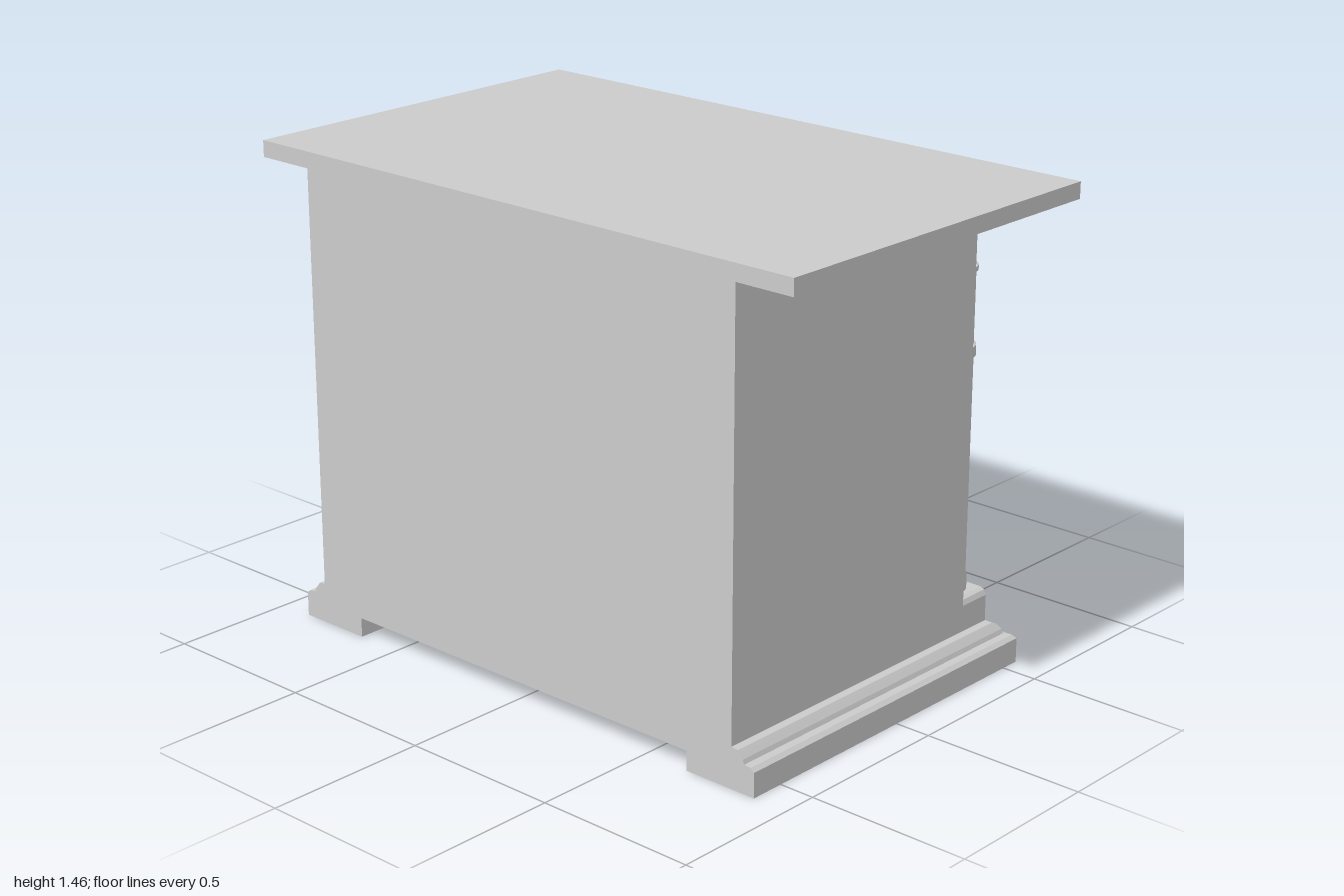
import * as THREE from 'three';
import { toCreasedNormals } from 'three/addons/utils/BufferGeometryUtils.js';

const material = new THREE.MeshStandardMaterial({ color: 0xcccccc, side: THREE.DoubleSide });

function add(parent, name, geometry, x = 0, y = 0, z = 0) {
  const mesh = new THREE.Mesh(geometry, material);
  mesh.name = name;
  mesh.position.set(x, y, z);
  parent.add(mesh);
  return mesh;
}

const box = (w, h, d) => new THREE.BoxGeometry(w, h, d);
const toPoints = (list) => list.map(([a, b]) => new THREE.Vector2(a, b));

// Outline in the (z, y) plane given as its +z half, mirrored to a closed loop
function symmetric(half) {
  return toPoints([...half, ...half.map(([z, y]) => [-z, y]).reverse()]);
}

// Slice of the cabinet between two x positions, with openings cut through
function slice(outline, holes, x0, x1) {
  const shape = new THREE.Shape(outline);
  holes.forEach((h) => shape.holes.push(new THREE.Path(h)));
  const geometry = new THREE.ExtrudeGeometry(shape, { depth: x1 - x0, bevelEnabled: false });
  geometry.rotateY(Math.PI / 2);
  geometry.translate(x0, 0, 0);
  return geometry;
}

// Stack of rectangles [front x, half z, y]; the back stays flush
function moulding(rings, back) {
  const pos = [];
  const index = [];
  rings.forEach(([x, z, y]) => pos.push(back, y, z, x, y, z, x, y, -z, back, y, -z));
  for (let r = 0; r < rings.length - 1; r++) {
    for (let i = 0; i < 4; i++) {
      const a = r * 4 + i;
      const b = r * 4 + ((i + 1) % 4);
      index.push(a, b, b + 4, a, b + 4, a + 4);
    }
  }
  const t = (rings.length - 1) * 4;
  index.push(0, 2, 1, 0, 3, 2, t, t + 1, t + 2, t, t + 2, t + 3);
  const geometry = new THREE.BufferGeometry();
  geometry.setAttribute('position', new THREE.Float32BufferAttribute(pos, 3));
  geometry.setIndex(index);
  const flat = geometry.toNonIndexed();
  flat.computeVertexNormals();
  return flat;
}

export function createModel() {
  const group = new THREE.Group();
  const back = -0.61;

  // Table top
  add(group, 'tableTop', box(1.22, 0.05, 2), 0, 1.435, 0);

  // Stepped base and two runners
  add(group, 'baseMoulding', moulding([
    [0.56, 0.89, 0.06], [0.56, 0.89, 0.075], [0.553, 0.877, 0.085], [0.54, 0.855, 0.087],
    [0.538, 0.85, 0.1], [0.53, 0.838, 0.115], [0.515, 0.832, 0.122], [0.51, 0.81, 0.125],
  ], back), back);
  group.getObjectByName('baseMoulding').position.x = 0;
  for (const s of [1, -1]) {
    add(group, s > 0 ? 'leftRunner' : 'rightRunner', box(1.17, 0.06, 0.24), -0.025, 0.03, s * 0.77);
  }

  // Cabinet outlines: plain block, and one notched at the corners for the columns
  const block = symmetric([[0.81, 0.12], [0.81, 1.41]]);
  const notched = symmetric([
    [0.81, 0.12], [0.81, 0.205], [0.803, 0.22], [0.79, 0.226], [0.6, 0.226],
    [0.6, 1.36], [0.79, 1.36], [0.803, 1.365], [0.81, 1.375], [0.81, 1.41],
  ]);

  // Openings on the decorated face
  const niche = symmetric([[0.41, 0.98], [0.41, 1.3]]);
  const door = symmetric([[0.425, 0.128], [0.41, 0.9]]);
  const pilaster = (s) => toPoints([[0.435, 0.13], [0.57, 0.13], [0.57, 1.29], [0.42, 1.29]]
    .map(([z, y]) => [s * z, y]));

  add(group, 'cabinetBack', slice(block, [], back, -0.35));
  add(group, 'cabinetBody', slice(block, [niche], -0.35, 0.4));
  add(group, 'cabinetFront', slice(notched, [niche], 0.4, 0.488));
  add(group, 'facePanel', slice(notched, [niche, door, pilaster(1), pilaster(-1)], 0.488, 0.51));

  // Turned corner columns with collars
  const profile = toPoints([
    [0, 0.224], [0.071, 0.224], [0.071, 0.265], [0.067, 0.28], [0.067, 0.935],
    [0.073, 0.938], [0.073, 0.97], [0.066, 0.973], [0.066, 1.188],
    [0.072, 1.19], [0.072, 1.204], [0.065, 1.206], [0.065, 1.32],
    [0.07, 1.335], [0.07, 1.36], [0, 1.36],
  ]);
  for (const s of [1, -1]) {
    const column = toCreasedNormals(new THREE.LatheGeometry(profile, 32), 0.5);
    add(group, s > 0 ? 'leftColumn' : 'rightColumn', column, 0.436, 0, s * 0.705);
  }
  return group;
}
